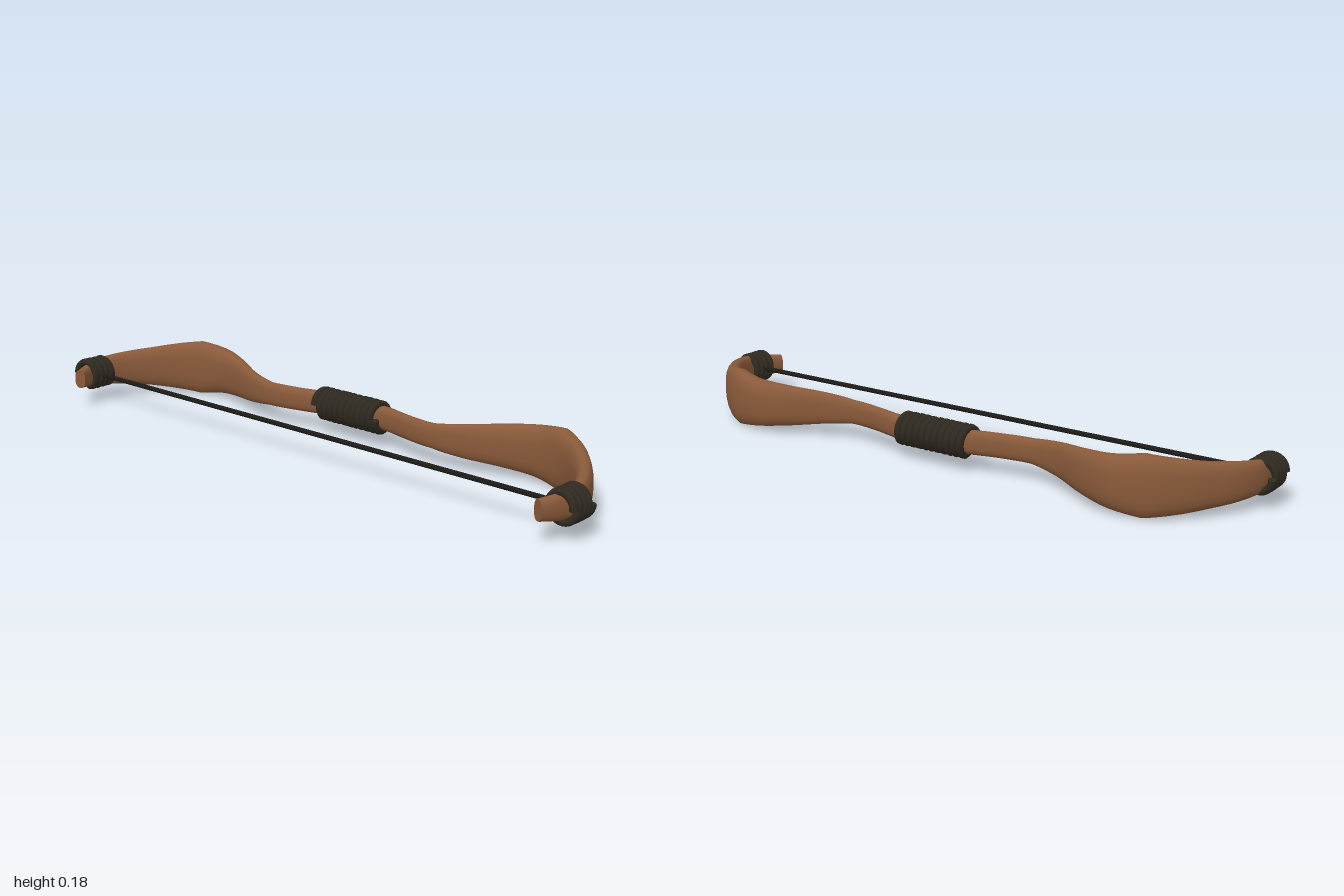
import * as THREE from 'three';

const MID_Y = 0.094;
const wood = new THREE.MeshStandardMaterial({ color: 0x8a5a3a });
const cord = new THREE.MeshStandardMaterial({ color: 0x2f2a20 });
const stringMat = new THREE.MeshStandardMaterial({ color: 0x1d1b17 });

// Half of the stave, from grip to tip: x, z, half height, half thickness
const HALF = [
  [0.0, -0.131, 0.037, 0.022],
  [0.12, -0.131, 0.037, 0.02],
  [0.22, -0.108, 0.037, 0.018],
  [0.33, -0.093, 0.038, 0.017],
  [0.43, -0.112, 0.051, 0.02],
  [0.54, -0.158, 0.065, 0.029],
  [0.64, -0.184, 0.077, 0.036],
  [0.73, -0.167, 0.091, 0.035],
  [0.805, -0.122, 0.079, 0.031],
  [0.869, -0.058, 0.066, 0.027],
  [0.917, 0.01, 0.057, 0.024],
  [0.943, 0.075, 0.049, 0.021],
  [0.946, 0.12, 0.043, 0.019],
  [0.936, 0.165, 0.036, 0.018],
  [0.914, 0.214, 0.03, 0.018],
];

// Rounded section swept along the stave, with capped ends
function staveGeometry() {
  const stations = [
    ...HALF.slice(1).reverse().map(([x, z, h, t]) => [-x, z, h, t]),
    ...HALF,
  ];
  const curve = new THREE.CatmullRomCurve3(
    stations.map(([x, z]) => new THREE.Vector3(x, MID_Y, z)), false, 'centripetal');
  const SIDES = 20, SUB = 4, spans = stations.length - 1, rings = spans * SUB;
  const soft = (v) => Math.sign(v) * Math.abs(v) ** 0.8;
  const pos = [], index = [];
  for (let i = 0; i <= rings; i++) {
    const p = curve.getPoint(i / rings), d = curve.getTangent(i / rings);
    const k = Math.min(Math.floor(i / SUB), spans - 1), f = i / SUB - k;
    const h = THREE.MathUtils.lerp(stations[k][2], stations[k + 1][2], f);
    const t = THREE.MathUtils.lerp(stations[k][3], stations[k + 1][3], f);
    for (let j = 0; j < SIDES; j++) {
      const a = (j / SIDES) * Math.PI * 2;
      const u = soft(Math.cos(a)) * t, v = soft(Math.sin(a)) * h;
      pos.push(p.x - d.z * u, p.y + v, p.z + d.x * u);
    }
  }
  for (let i = 0; i < rings; i++) {
    for (let j = 0; j < SIDES; j++) {
      const a = i * SIDES + j, b = i * SIDES + (j + 1) % SIDES;
      index.push(a, a + SIDES, b, b, a + SIDES, b + SIDES);
    }
  }
  // Caps use their own vertices so the rims stay crisp
  for (const end of [0, rings]) {
    const base = pos.length / 3;
    for (let j = 0; j < SIDES * 3; j++) pos.push(pos[end * SIDES * 3 + j]);
    for (let j = 1; j < SIDES - 1; j++) {
      if (end) index.push(base, base + j + 1, base + j);
      else index.push(base, base + j, base + j + 1);
    }
  }
  const g = new THREE.BufferGeometry();
  g.setAttribute('position', new THREE.Float32BufferAttribute(pos, 3));
  g.setIndex(index);
  g.computeVertexNormals();
  return g;
}

// Cord wound along an axis; place(c, s, t) maps a turn angle and progress to a point
function winding(name, turns, radius, place) {
  const group = new THREE.Group();
  group.name = name;
  const points = [], steps = turns * 16;
  for (let i = 0; i <= steps; i++) {
    const a = (i / 16) * Math.PI * 2;
    points.push(place(Math.cos(a), Math.sin(a), i / steps));
  }
  const path = new THREE.CatmullRomCurve3(points);
  group.add(new THREE.Mesh(new THREE.TubeGeometry(path, turns * 28, radius, 8), cord));
  // Flat discs close the cut ends
  for (const t of [0, 1]) {
    const cap = new THREE.Mesh(new THREE.CircleGeometry(radius, 8), cord);
    cap.position.copy(path.getPoint(t));
    const out = path.getTangent(t).multiplyScalar(t ? 1 : -1);
    cap.quaternion.setFromUnitVectors(new THREE.Vector3(0, 0, 1), out);
    group.add(cap);
  }
  return group;
}

export function createModel() {
  const bow = new THREE.Group();
  bow.name = 'bow';

  const stave = new THREE.Mesh(staveGeometry(), wood);
  stave.name = 'stave';
  bow.add(stave);

  // Grip wrapping
  bow.add(winding('gripWrap', 11, 0.0122, (c, s, t) => new THREE.Vector3(
    -0.138 + 0.248 * t, MID_Y + 0.041 * s, -0.129 + 0.038 * c)));

  // Tip wrappings, mirrored left and right
  for (const [side, name] of [[1, 'leftTipWrap'], [-1, 'rightTipWrap']]) {
    bow.add(winding(name, 4, 0.0115, (c, s, t) => new THREE.Vector3(
      side * (0.947 + 0.041 * c), MID_Y + 0.042 * s, 0.163 - 0.086 * t)));
  }

  // Bowstring
  const string = new THREE.Mesh(new THREE.CylinderGeometry(0.008, 0.008, 1.86, 8), stringMat);
  string.name = 'bowstring';
  string.rotation.z = Math.PI / 2;
  string.position.set(0, MID_Y, 0.128);
  bow.add(string);

  return bow;
}
